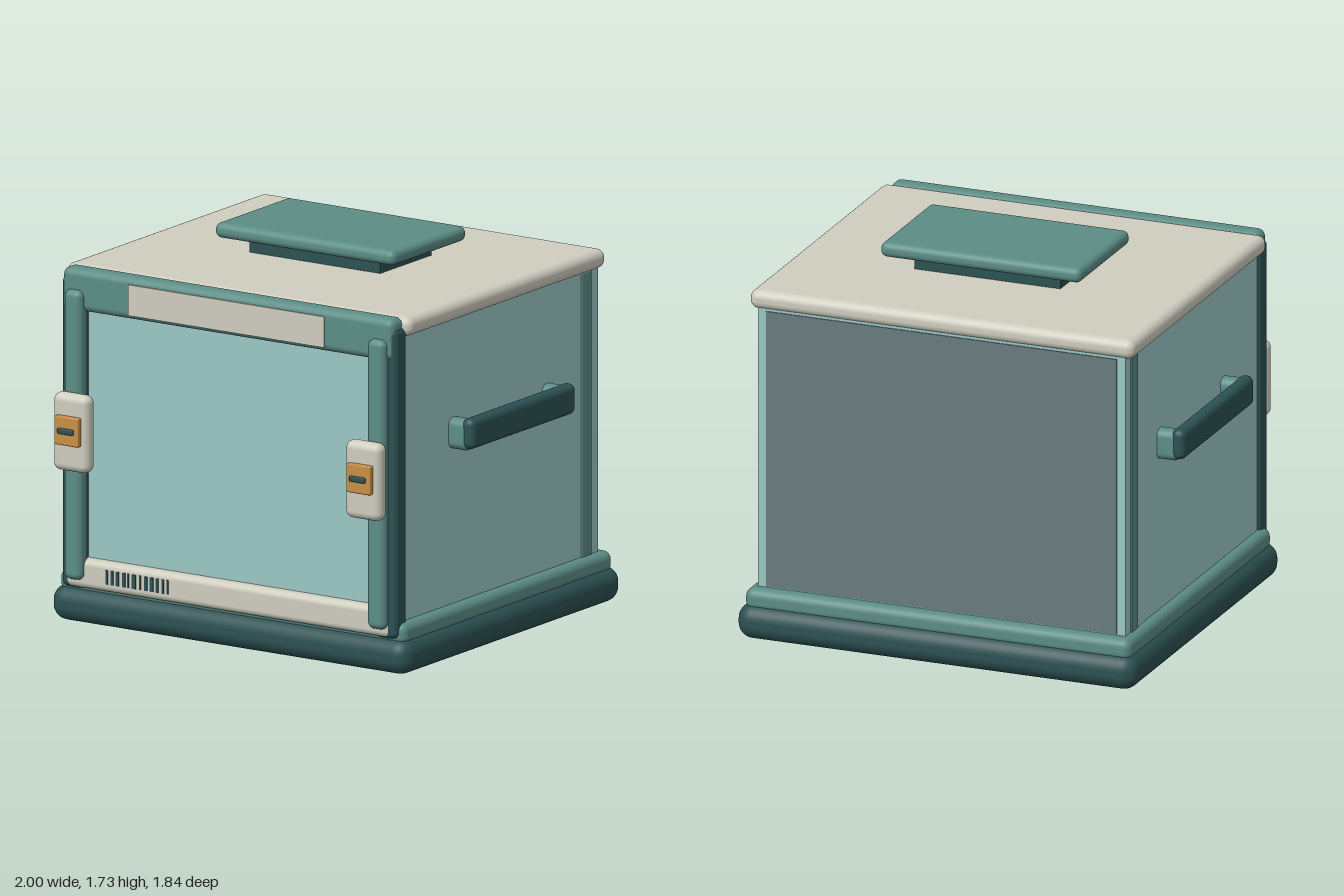
import * as THREE from 'three';
import { RoundedBoxGeometry } from 'three/addons/geometries/RoundedBoxGeometry.js';

function material(name, color) {
  const m = new THREE.MeshStandardMaterial({ color });
  m.name = name;
  return m;
}

export function createModel() {
  const model = new THREE.Group();
  model.name = 'storageCase';
  const darkTeal = material('dark teal', 0x2c5153);
  const teal = material('mid teal', 0x5c8d86);
  const paleTeal = material('pale teal', 0x9bc8c5);
  const cream = material('cream', 0xcfcdbf);
  const grey = material('slate grey', 0x697b7f);
  const orange = material('amber', 0xc88f45);

  // Box given by its min and max along each axis, rounded when r > 0
  function box(name, mat, [x0, x1], [y0, y1], [z0, z1], r = 0) {
    const size = [x1 - x0, y1 - y0, z1 - z0];
    const geo = r > 0 ? new RoundedBoxGeometry(...size, 4, r) : new THREE.BoxGeometry(...size);
    const mesh = new THREE.Mesh(geo, mat);
    mesh.name = name;
    mesh.position.set((x0 + x1) / 2, (y0 + y1) / 2, (z0 + z1) / 2);
    model.add(mesh);
    return mesh;
  }

  // The same box on the left (+x) and right (-x) sides
  function pair(name, mat, [x0, x1], y, z, r) {
    box(name + 'Left', mat, [x0, x1], y, z, r);
    box(name + 'Right', mat, [-x1, -x0], y, z, r);
  }

  // Base and plinth
  box('base', darkTeal, [-0.945, 0.945], [0, 0.16], [-0.92, 0.79], 0.07);
  box('plinth', teal, [-0.913, 0.913], [0.13, 0.23], [-0.885, 0.755], 0.038);

  // Body, rear panel and rear side strips
  box('body', paleTeal, [-0.87, 0.87], [0.2, 1.54], [-0.825, 0.735]);
  box('rearPanel', grey, [-0.83, 0.83], [0.235, 1.51], [-0.83, -0.823]);
  pair('sideStrip', teal, [0.85, 0.876], [0.22, 1.51], [-0.768, -0.692], 0.005);

  // Lid with raised grip
  box('lid', cream, [-0.91, 0.91], [1.513, 1.6], [-0.838, 0.71], 0.038);
  box('gripNeck', darkTeal, [-0.345, 0.345], [1.58, 1.68], [-0.3, 0.1]);
  box('gripPlate', teal, [-0.475, 0.475], [1.665, 1.733], [-0.39, 0.19], 0.03);

  // Front frame
  pair('framePost', darkTeal, [0.765, 0.885], [0.16, 1.56], [0.68, 0.78], 0.03);
  box('frameTop', teal, [-0.875, 0.875], [1.412, 1.603], [0.69, 0.788], 0.035);
  box('frameBottom', cream, [-0.86, 0.86], [0.165, 0.298], [0.69, 0.785], 0.03);
  pair('frontRail', teal, [0.755, 0.847], [0.205, 1.51], [0.74, 0.82], 0.03);
  box('labelPlate', cream, [-0.517, 0.517], [1.433, 1.572], [0.786, 0.794]);

  // Row of small vent marks on the lower bar: [start, width]
  const marks = [[-0.64, 0.012], [-0.613, 0.012], [-0.586, 0.016], [-0.553, 0.016],
    [-0.525, 0.008], [-0.503, 0.022], [-0.462, 0.008], [-0.437, 0.016],
    [-0.408, 0.02], [-0.375, 0.012], [-0.345, 0.012], [-0.317, 0.007]];
  marks.forEach(([x, w], i) =>
    box('ventMark' + (i + 1), darkTeal, [x, x + w], [0.203, 0.267], [0.782, 0.789]));

  // Latches
  pair('latch', cream, [0.678, 0.865], [0.707, 1.057], [0.802, 0.88], 0.035);
  pair('latchPlate', orange, [0.708, 0.834], [0.832, 0.962], [0.87, 0.903], 0.006);
  pair('latchSlot', darkTeal, [0.73, 0.812], [0.884, 0.91], [0.9, 0.915], 0.006);

  // Side handles
  pair('handleBar', darkTeal, [0.935, 1.0], [0.942, 1.08], [-0.47, 0.345], 0.03);
  for (const [end, z] of [['Front', [0.26, 0.342]], ['Rear', [-0.467, -0.385]]]) {
    pair('handleMount' + end, teal, [0.84, 0.975], [0.93, 1.07], z, 0.035);
  }

  return model;
}
